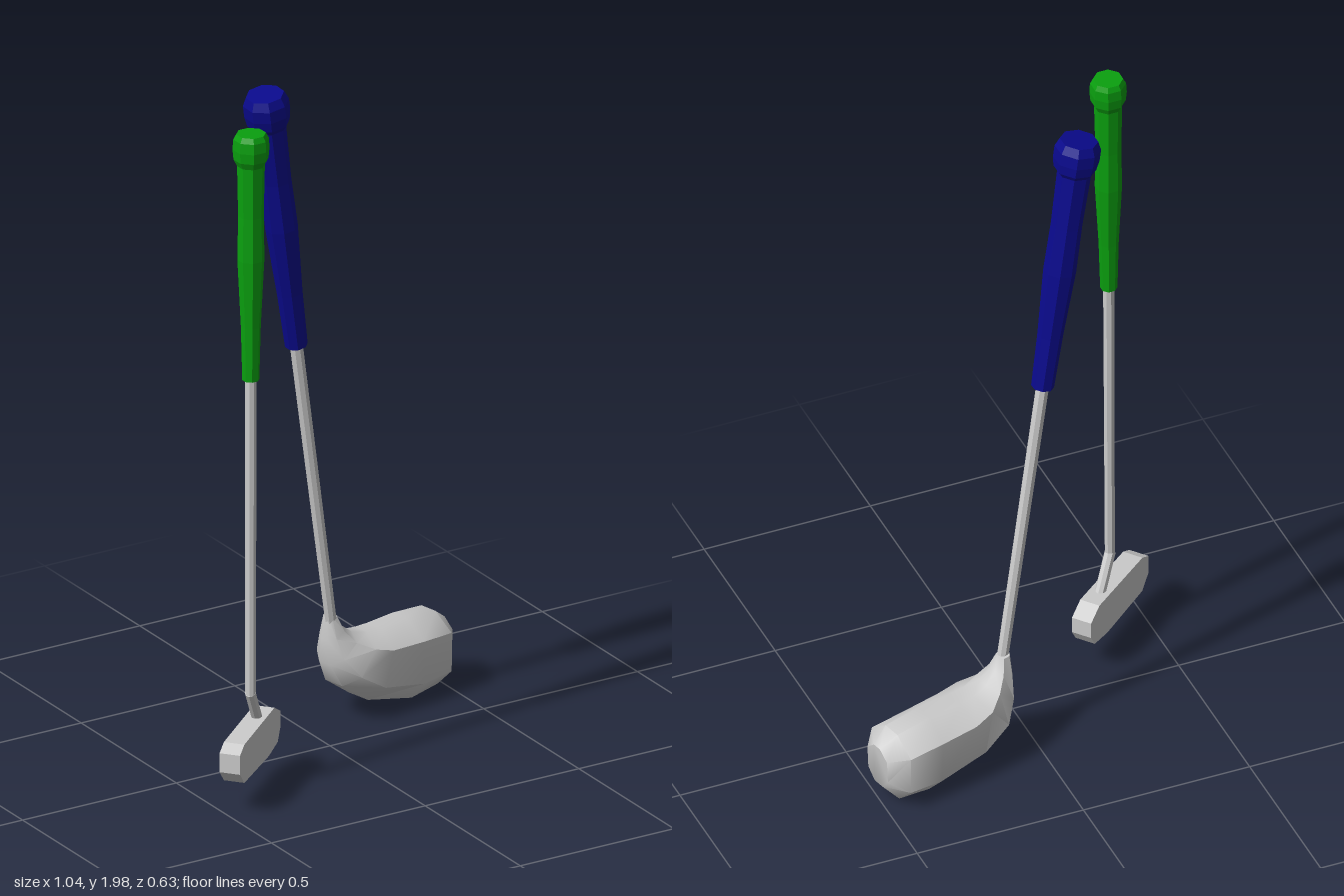
import * as THREE from 'three';
import { toCreasedNormals } from 'three/addons/utils/BufferGeometryUtils.js';

const flat = (color) => new THREE.MeshStandardMaterial({ color, flatShading: true });
const grey = flat(0xcccccc);
const UP = new THREE.Vector3(0, 1, 0);

function add(parent, name, geometry, material) {
  const mesh = new THREE.Mesh(geometry, material);
  mesh.name = name;
  parent.add(mesh);
  return mesh;
}

// Straight eight-sided rod between two points
function rod(parent, name, from, to, r0, r1) {
  const dir = to.clone().sub(from);
  const mesh = add(parent, name, new THREE.CylinderGeometry(r1, r0, dir.length(), 8), grey);
  mesh.position.copy(from).addScaledVector(dir, 0.5);
  mesh.quaternion.setFromUnitVectors(UP, dir.normalize());
}

// Shaft with a turned grip; profile is [radius, distance from shaft foot]
function shaftAndGrip(parent, foot, top, profile, color, radius) {
  const dir = top.clone().sub(foot).normalize();
  const gripStart = profile[0][1];
  rod(parent, 'shaft', foot, foot.clone().addScaledVector(dir, gripStart + 0.02), radius * 0.88, radius);
  const points = [[0, gripStart], ...profile, [0, profile.at(-1)[1]]].map(([r, y]) => new THREE.Vector2(r, y));
  const grip = add(parent, 'grip', new THREE.LatheGeometry(points, 8, Math.PI / 8), flat(color));
  grip.position.copy(foot);
  grip.quaternion.setFromUnitVectors(UP, dir);
}

// Driver head lofted through sections that turn from the neck into the body
function driverHeadGeometry() {
  // [top x, top y, bottom x, bottom y, half width]
  const sections = [
    [-0.102, 0.325, -0.137, 0.33, 0.018],
    [-0.085, 0.29, -0.142, 0.26, 0.034],
    [-0.05, 0.262, -0.14, 0.19, 0.055],
    [0.0, 0.25, -0.105, 0.12, 0.085],
    [0.05, 0.246, -0.01, 0.052, 0.093],
    [0.15, 0.247, 0.16, 0.008, 0.093],
    [0.262, 0.236, 0.262, 0.02, 0.092],
    [0.312, 0.2, 0.306, 0.07, 0.046],
  ];
  // [side, fraction from top to bottom]
  const half = [[0.3, 0], [1, 0.22], [1, 0.75], [0.4, 1]];
  const ring = [...half, ...half.map(([s, t]) => [-s, t]).reverse()];
  const n = ring.length;
  const positions = [], index = [];
  for (const [tx, ty, bx, by, w] of sections)
    for (const [s, t] of ring) positions.push(tx + (bx - tx) * t, ty + (by - ty) * t, s * w);
  for (let i = 0; i < sections.length - 1; i++)
    for (let j = 0; j < n; j++) {
      const k = (j + 1) % n;
      const a = i * n + j, b = i * n + k, c = b + n, d = a + n;
      index.push(a, b, d, b, c, d);
    }
  // End caps
  const last = (sections.length - 1) * n;
  for (let j = 1; j < n - 1; j++) index.push(0, j + 1, j, last, last + j, last + j + 1);
  const geometry = new THREE.BufferGeometry();
  geometry.setAttribute('position', new THREE.Float32BufferAttribute(positions, 3));
  geometry.setIndex(index);
  return toCreasedNormals(geometry, 0.79);
}

function createDriver() {
  const driver = new THREE.Group();
  driver.name = 'driver';
  shaftAndGrip(driver, new THREE.Vector3(0.09, 0.31, -0.14), new THREE.Vector3(-0.175, 1.985, -0.06), [
    [0.032, 0.89], [0.036, 1.06], [0.046, 1.27], [0.044, 1.42], [0.048, 1.59],
    [0.06, 1.605], [0.065, 1.635], [0.065, 1.67], [0.054, 1.695],
  ], 0x0a0a8c, 0.019);
  const head = add(driver, 'driverHead', driverHeadGeometry(), new THREE.MeshStandardMaterial({ color: 0xcccccc }));
  head.position.set(0.207, 0, -0.172);
  head.rotation.y = 0.226;
  return driver;
}

function createPutter() {
  const putter = new THREE.Group();
  putter.name = 'putter';
  const bend = new THREE.Vector3(-0.37, 0.31, 0.18);
  shaftAndGrip(putter, bend, new THREE.Vector3(-0.356, 1.985, 0.16), [
    [0.024, 0.94], [0.028, 1.1], [0.038, 1.3], [0.036, 1.43], [0.039, 1.58],
    [0.049, 1.6], [0.052, 1.63], [0.05, 1.66], [0.042, 1.675],
  ], 0x0aa00f, 0.017);
  // Offset neck
  rod(putter, 'neck', new THREE.Vector3(-0.319, 0.205, 0.136), bend.clone().add(new THREE.Vector3(-0.001, 0.006, 0)), 0.016, 0.016);
  // Blade with clipped corners
  const outline = [
    [-0.172, 0.197], [-0.135, 0.216], [0.122, 0.224], [0.172, 0.195], [0.172, 0.145],
    [0.15, 0.11], [0.075, 0.098], [-0.135, 0.101], [-0.172, 0.14],
  ].map(([x, y]) => new THREE.Vector2(x, y));
  const blade = new THREE.ExtrudeGeometry(new THREE.Shape(outline), { depth: 0.06, bevelEnabled: false });
  blade.translate(0, 0, -0.03);
  const head = add(putter, 'putterHead', blade, grey);
  head.position.set(-0.37, 0, 0.177);
  head.rotation.y = 0.687;
  return putter;
}

export function createModel() {
  const model = new THREE.Group();
  model.name = 'golfClubs';
  model.add(createDriver(), createPutter());
  return model;
}
